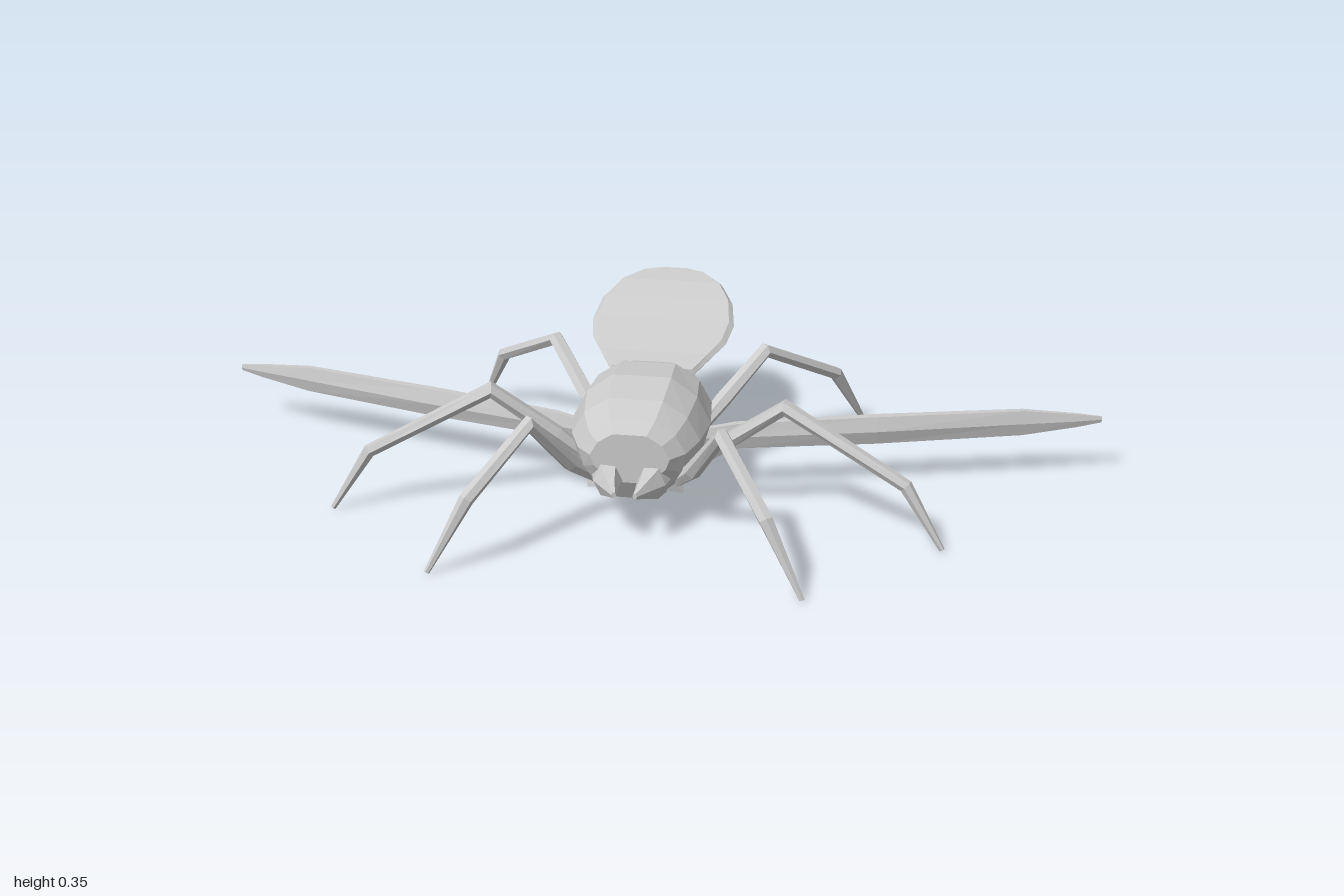
import * as THREE from 'three';

const V = (x, y, z) => new THREE.Vector3(x, y, z);
const material = new THREE.MeshStandardMaterial({ color: 0xcccccc, flatShading: true, side: THREE.DoubleSide });

// Skin a list of equal-length rings and close both ends with fans.
function loft(rings) {
  const n = rings[0].length, pos = [], idx = [];
  const all = [...rings];
  for (const ring of all) for (const p of ring) pos.push(p.x, p.y, p.z);
  for (let r = 0; r < all.length - 1; r++) {
    for (let i = 0; i < n; i++) {
      const a = r * n + i, b = r * n + (i + 1) % n;
      idx.push(a, b, a + n, b, b + n, a + n);
    }
  }
  const last = (all.length - 1) * n;
  for (let i = 1; i < n - 1; i++) {
    idx.push(0, i + 1, i);
    idx.push(last, last + i, last + i + 1);
  }
  const geo = new THREE.BufferGeometry();
  geo.setAttribute('position', new THREE.Float32BufferAttribute(pos, 3));
  geo.setIndex(idx);
  const flat = geo.toNonIndexed();
  flat.computeVertexNormals();
  return flat;
}

// Sweep an elliptical section along a polyline; each node is [x, y, z, halfWidth, halfHeight].
function limb(nodes, sides) {
  const pts = nodes.map(([x, y, z]) => V(x, y, z));
  const heading = pts[pts.length - 1].clone().sub(pts[0]).setY(0).normalize();
  const across = V(0, 1, 0).cross(heading);
  return loft(nodes.map(([, , , w, h], k) => {
    const dirIn = pts[k].clone().sub(pts[Math.max(k - 1, 0)]).normalize();
    const dirOut = pts[Math.min(k + 1, pts.length - 1)].clone().sub(pts[k]).normalize();
    const tangent = dirIn.add(dirOut).normalize();
    const up = tangent.clone().cross(across).normalize();
    return Array.from({ length: sides }, (_, i) => {
      const a = i / sides * Math.PI * 2;
      return pts[k].clone().addScaledVector(across, Math.cos(a) * w).addScaledVector(up, Math.sin(a) * h);
    });
  }));
}

// Body cross-section with a rounded back and a narrow flat belly.
function bodyRing([z, w, top, mid, bottom]) {
  const up = top - mid, down = mid - bottom;
  const half = [[0.42, up], [0.8, up * 0.62], [1, up * 0.08], [0.9, -down * 0.35], [0.66, -down * 0.72], [0.4, -down]];
  const right = half.map(([x, y]) => V(x * w, mid + y, z));
  const left = half.map(([x, y]) => V(-x * w, mid + y, z)).reverse();
  return [...right, ...left].reverse();
}

export function createModel() {
  const model = new THREE.Group();
  const add = (name, geo) => {
    const mesh = new THREE.Mesh(geo, material);
    mesh.name = name;
    model.add(mesh);
    return mesh;
  };

  // Faceted body, from back to front: z, half width, top, widest height, bottom
  add('body', loft([
    [-0.145, 0.085, 0.25, 0.22, 0.17],
    [-0.11, 0.115, 0.26, 0.2, 0.09],
    [-0.05, 0.14, 0.285, 0.19, 0.055],
    [0.05, 0.15, 0.295, 0.185, 0.055],
    [0.14, 0.138, 0.279, 0.185, 0.055],
    [0.195, 0.115, 0.255, 0.18, 0.075],
    [0.225, 0.085, 0.235, 0.18, 0.125],
  ].map(bodyRing)));

  // Thin rounded tail plate rising behind the body: z, half width, height, half thickness
  add('tailPlate', loft([
    [-0.46, 0.03, 0.349, 0.007], [-0.445, 0.075, 0.344, 0.01], [-0.4, 0.122, 0.336, 0.01],
    [-0.34, 0.152, 0.317, 0.01], [-0.27, 0.163, 0.291, 0.01], [-0.21, 0.152, 0.271, 0.01],
    [-0.16, 0.125, 0.256, 0.009], [-0.1, 0.095, 0.243, 0.009],
  ].map(([z, w, y, t]) => [
    V(-w, y, z), V(-w * 0.93, y - t, z), V(w * 0.93, y - t, z),
    V(w, y, z), V(w * 0.93, y + t, z), V(-w * 0.93, y + t, z),
  ])));

  // Limb nodes for the left side: x, y, z, half width, half height
  const limbs = {
    frontLeg: [[0.09, 0.1, 0.15, 0.012, 0.014], [0.13, 0.15, 0.2, 0.019, 0.019], [0.2, 0.277, 0.29, 0.018, 0.018],
      [0.305, 0.16, 0.42, 0.016, 0.016], [0.385, 0.006, 0.458, 0.006, 0.006]],
    middleLeg: [[0.11, 0.1, 0.075, 0.012, 0.014], [0.18, 0.165, 0.092, 0.02, 0.019], [0.315, 0.277, 0.13, 0.02, 0.018],
      [0.575, 0.14, 0.185, 0.014, 0.015], [0.658, 0.006, 0.203, 0.006, 0.006]],
    backLeg: [[0.1, 0.11, -0.06, 0.012, 0.014], [0.155, 0.17, -0.125, 0.02, 0.018], [0.24, 0.257, -0.222, 0.018, 0.017],
      [0.395, 0.15, -0.365, 0.016, 0.016], [0.46, 0.006, -0.438, 0.006, 0.006]],
    paddleLeg: [[0.1, 0.14, 0.015, 0.009, 0.02], [0.2, 0.14, -0.013, 0.014, 0.034], [0.5, 0.14, -0.09, 0.018, 0.037],
      [0.82, 0.14, -0.175, 0.013, 0.034], [0.94, 0.14, -0.203, 0.008, 0.018], [0.996, 0.14, -0.216, 0.003, 0.008]],
  };
  // Hip wedges at the leg roots: x, z
  const hips = [[0.085, 0.135], [0.105, 0.05], [0.09, -0.055]];

  for (const [side, s] of [['left', 1], ['right', -1]]) {
    const mirror = nodes => nodes.map(([x, ...rest]) => [x * s, ...rest]);
    for (const [name, nodes] of Object.entries(limbs)) {
      add(`${side} ${name}`, limb(mirror(nodes), 6));
    }
    for (const [x, z] of hips) {
      const hip = add(`${side} hip`, new THREE.ConeGeometry(0.045, 0.09, 5));
      hip.position.set(x * s, 0.13, z);
      hip.rotation.z = -0.45 * s;
    }
    // Pointed jaw beside the centre line
    add(`${side} jaw`, limb(mirror([
      [0.05, 0.128, 0.17, 0.04, 0.052], [0.046, 0.128, 0.225, 0.032, 0.04],
      [0.034, 0.13, 0.265, 0.017, 0.022], [0.022, 0.13, 0.297, 0.005, 0.007],
    ]), 6));
  }
  return model;
}
